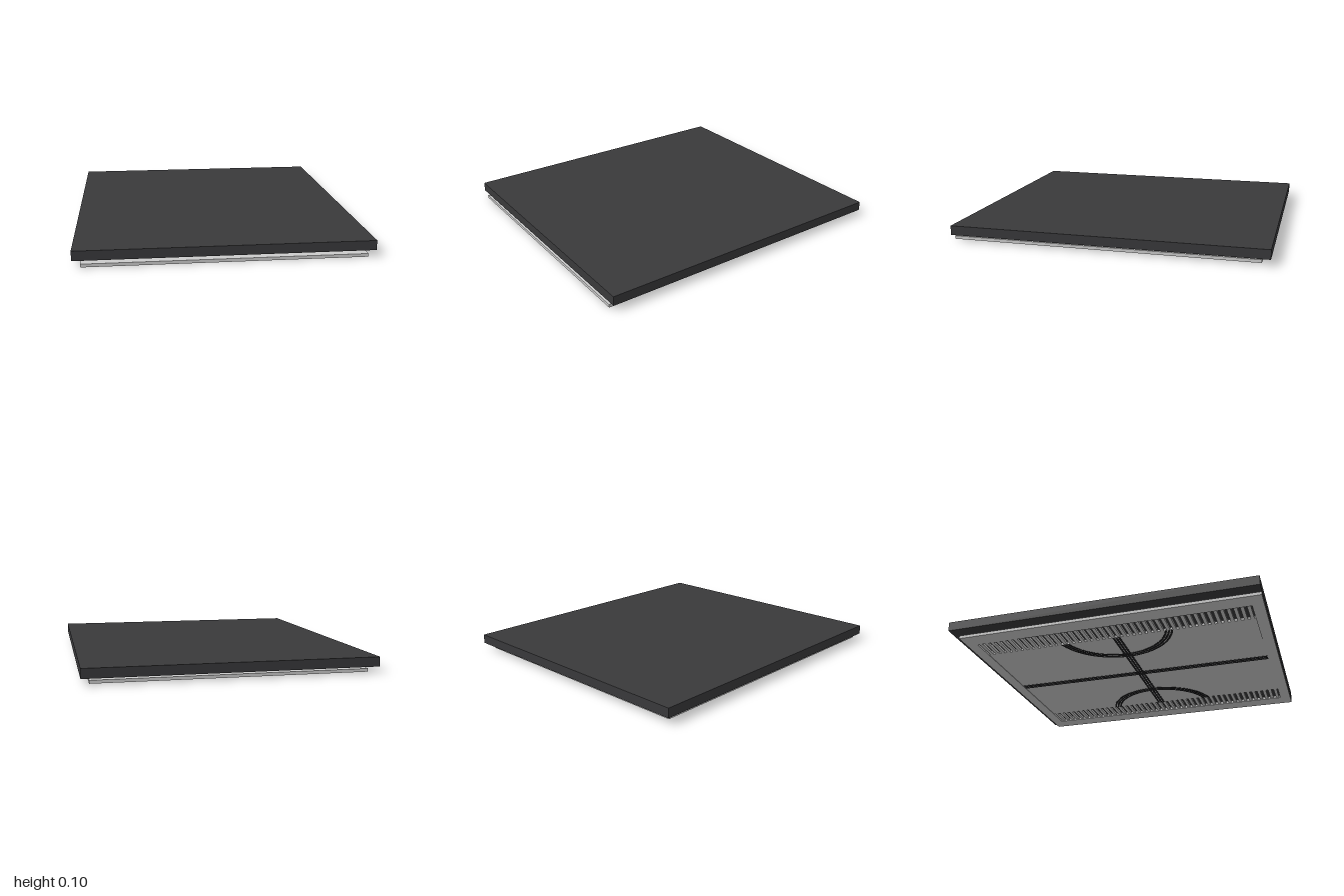
import * as THREE from 'three';

export function createModel() {
  const model = new THREE.Group();
  const grey = new THREE.MeshStandardMaterial({ color: 0xcccccc });
  const dark = new THREE.MeshStandardMaterial({ color: 0x39393b });
  const black = new THREE.MeshStandardMaterial({ color: 0x1e1e20 });

  const add = (parent, name, geometry, material) => {
    const mesh = new THREE.Mesh(geometry, material);
    mesh.name = name;
    parent.add(mesh);
    return mesh;
  };
  // Box given by its size, its centre in plan and its lower and upper height
  const box = (parent, name, w, d, y0, y1, x, z, material) =>
    add(parent, name, new THREE.BoxGeometry(w, y1 - y0, d), material)
      .position.set(x, (y0 + y1) / 2, z);
  // Plan outline (x, z) extruded between two heights
  const plate = (shape, y0, y1) =>
    new THREE.ExtrudeGeometry(shape, { depth: y1 - y0, bevelEnabled: false, curveSegments: 40 })
      .rotateX(Math.PI / 2).translate(0, y1, 0);
  const rect = (Type, hw, hd) => new Type([
    new THREE.Vector2(-hw, -hd), new THREE.Vector2(hw, -hd),
    new THREE.Vector2(hw, hd), new THREE.Vector2(-hw, hd)]);

  // Upper slab
  box(model, 'topSlab', 1.8, 2, 0.04, 0.1, 0, 0, dark);

  // Lower panel sits slightly forward under the slab
  const panel = new THREE.Group();
  panel.name = 'lowerPanel';
  panel.position.z = 0.027;
  model.add(panel);

  const frameShape = rect(THREE.Shape, 0.85, 0.973);
  frameShape.holes.push(rect(THREE.Path, 0.735, 0.9));
  add(panel, 'panelFrame', plate(frameShape, 0, 0.02), grey);
  box(panel, 'centrePanel', 1.14, 1.8, 0.004, 0.02, 0, 0, grey);

  // Slatted vents along both sides
  const slats = 44, pitch = 1.8 / slats;
  for (const side of [-1, 1]) {
    const vent = new THREE.Group();
    vent.name = side > 0 ? 'leftVent' : 'rightVent';
    panel.add(vent);
    for (let i = 0; i < slats; i++) {
      box(vent, 'slat', 0.165, pitch * 0.55, 0.004, 0.02,
        side * 0.6525, -0.9 + pitch * (i + 0.5), grey);
    }
  }

  // Triple dark lines: lengthwise, crosswise and an arc at each side
  const low = 0.002, high = 0.028, lineWidth = 0.013;
  const arcCentre = 0.67, arcEdge = 0.57;
  for (const offset of [-0.019, 0, 0.019]) {
    box(panel, 'lengthLine', lineWidth, 1.8, low, high, offset, 0, black);
    box(panel, 'crossLine', 1.14, lineWidth, low, high, 0, offset, black);

    const radius = 0.365 + offset;
    const inner = radius - lineWidth / 2, outer = radius + lineWidth / 2;
    const a = Math.acos((arcCentre - arcEdge) / inner);
    const b = Math.acos((arcCentre - arcEdge) / outer);
    const arc = new THREE.Shape();
    arc.absarc(arcCentre, 0, outer, Math.PI - b, Math.PI + b, false);
    arc.absarc(arcCentre, 0, inner, Math.PI + a, Math.PI - a, true);
    const arcGeometry = plate(arc, low, high);
    add(panel, 'leftArcLine', arcGeometry, black);
    add(panel, 'rightArcLine', arcGeometry, black).rotation.y = Math.PI;
  }

  return model;
}
